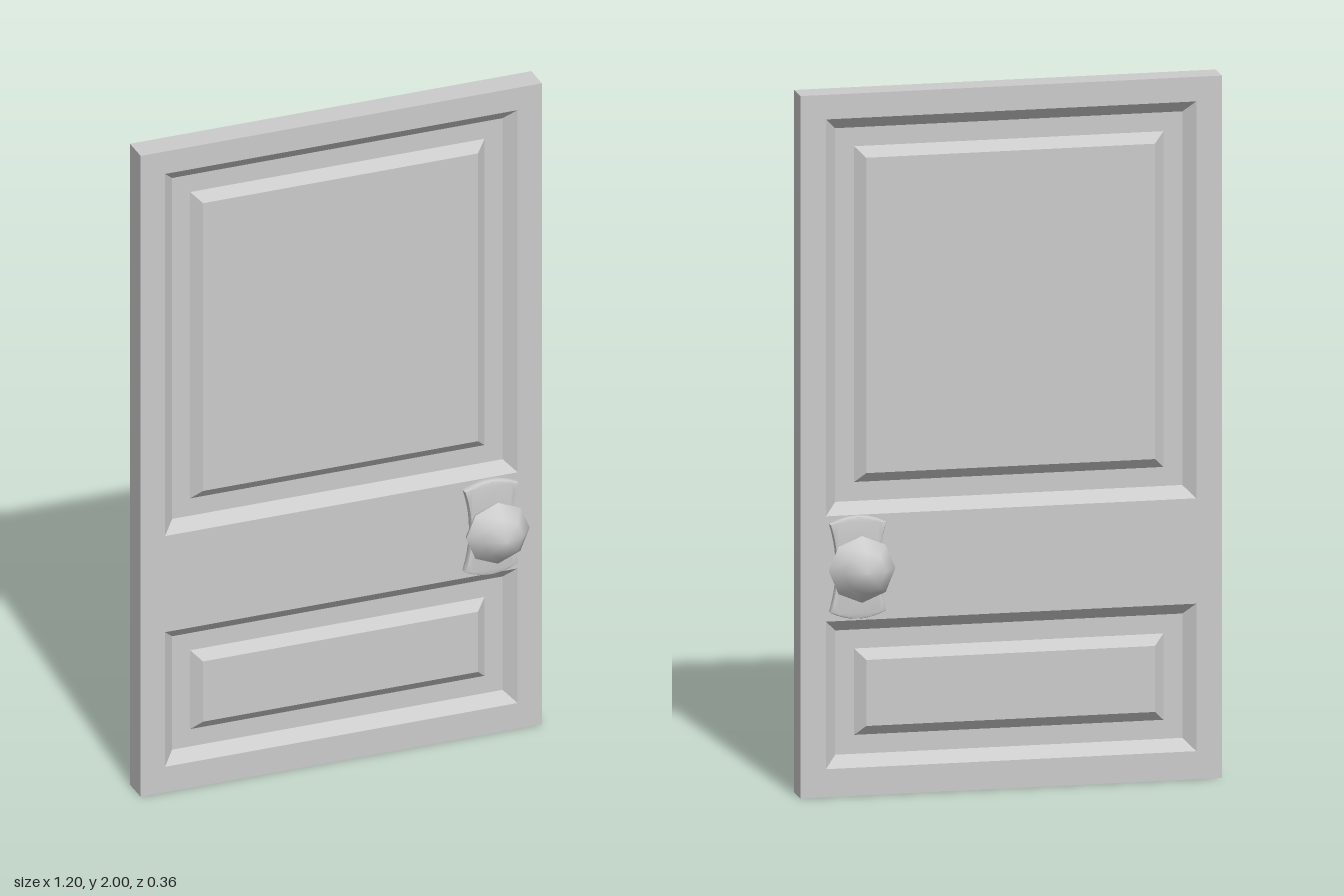
import * as THREE from 'three';
import { toCreasedNormals } from 'three/addons/utils/BufferGeometryUtils.js';

const material = new THREE.MeshStandardMaterial({ color: 0xcccccc });
const HALF = 0.04; // half the door thickness

function add(parent, name, geometry) {
  const mesh = new THREE.Mesh(geometry, material);
  mesh.name = name;
  parent.add(mesh);
  return mesh;
}

// Corners of a rectangle, counter-clockwise seen from +z
const corners = (w, y0, y1) => [[-w, y0], [w, y0], [w, y1], [-w, y1]];

// Nested rectangles [inset, z] joined by mitred bevels, closed by a flat centre
function panelGeometry(w, y0, y1, steps) {
  const loops = steps.map(([inset, z]) =>
    corners(w - inset, y0 + inset, y1 - inset).map(([x, y]) => [x, y, z]));
  const points = [];
  const quad = (a, b, c, d) => points.push(...a, ...b, ...c, ...a, ...c, ...d);
  for (let i = 0; i < loops.length - 1; i++) {
    for (let k = 0; k < 4; k++) {
      const n = (k + 1) % 4;
      quad(loops[i][k], loops[i][n], loops[i + 1][n], loops[i + 1][k]);
    }
  }
  quad(...loops[loops.length - 1]);
  const geometry = new THREE.BufferGeometry();
  geometry.setAttribute('position', new THREE.Float32BufferAttribute(points, 3));
  geometry.computeVertexNormals();
  return geometry;
}

// Waisted plate with arched ends, lying against z = 0
function plateGeometry() {
  const s = new THREE.Shape();
  s.moveTo(-0.073, -0.122);
  s.quadraticCurveTo(0, -0.158, 0.073, -0.122);
  s.quadraticCurveTo(0.037, 0, 0.073, 0.122);
  s.quadraticCurveTo(0, 0.158, -0.073, 0.122);
  s.quadraticCurveTo(-0.037, 0, -0.073, -0.122);
  const geometry = new THREE.ExtrudeGeometry(s, {
    depth: 0.015, bevelSize: 0.006, bevelThickness: 0.006, bevelSegments: 2, curveSegments: 10,
  });
  geometry.translate(0, 0, 0.006);
  return toCreasedNormals(geometry, 0.6);
}

// Eight-sided stem and knob turned around z, starting at the door surface
function knobGeometry() {
  const profile = [
    [0.047, 0], [0.047, 0.057], [0.09, 0.057], [0.095, 0.071], [0.06, 0.115], [0, 0.142],
  ].map(([r, h]) => new THREE.Vector2(r, h));
  const geometry = new THREE.LatheGeometry(profile, 8);
  geometry.rotateX(Math.PI / 2);
  return toCreasedNormals(geometry, 0.85);
}

export function createModel() {
  const door = new THREE.Group();
  door.name = 'door';
  const panels = [
    { name: 'upperPanel', y0: 0.8, y1: 1.93 },
    { name: 'lowerPanel', y0: 0.08, y1: 0.5 },
  ];
  const panelHalfWidth = 0.527;

  // Slab with two openings
  const outline = new THREE.Shape(corners(0.6, 0, 2).map(([x, y]) => new THREE.Vector2(x, y)));
  for (const { y0, y1 } of panels) {
    outline.holes.push(new THREE.Path(
      corners(panelHalfWidth, y0, y1).reverse().map(([x, y]) => new THREE.Vector2(x, y))));
  }
  const slab = new THREE.ExtrudeGeometry(outline, { depth: HALF * 2, bevelEnabled: false });
  slab.translate(0, 0, -HALF);
  add(door, 'frame', slab);

  // Sunken moulding with a raised field: [inset, z]
  const steps = [[0, HALF], [0.033, 0.01], [0.087, 0.01], [0.116, 0.034]];

  // Both faces carry the same panels and handle
  for (const side of ['front', 'back']) {
    const face = new THREE.Group();
    face.name = side + 'Face';
    face.rotation.y = side === 'front' ? 0 : Math.PI;
    for (const { name, y0, y1 } of panels) {
      add(face, name, panelGeometry(panelHalfWidth, y0, y1, steps));
    }
    const handle = new THREE.Group();
    handle.name = 'handle';
    handle.position.set(side === 'front' ? 0.44 : -0.44, 0.655, HALF);
    add(handle, 'plate', plateGeometry());
    add(handle, 'knob', knobGeometry()).position.y = 0.005;
    face.add(handle);
    door.add(face);
  }
  return door;
}
